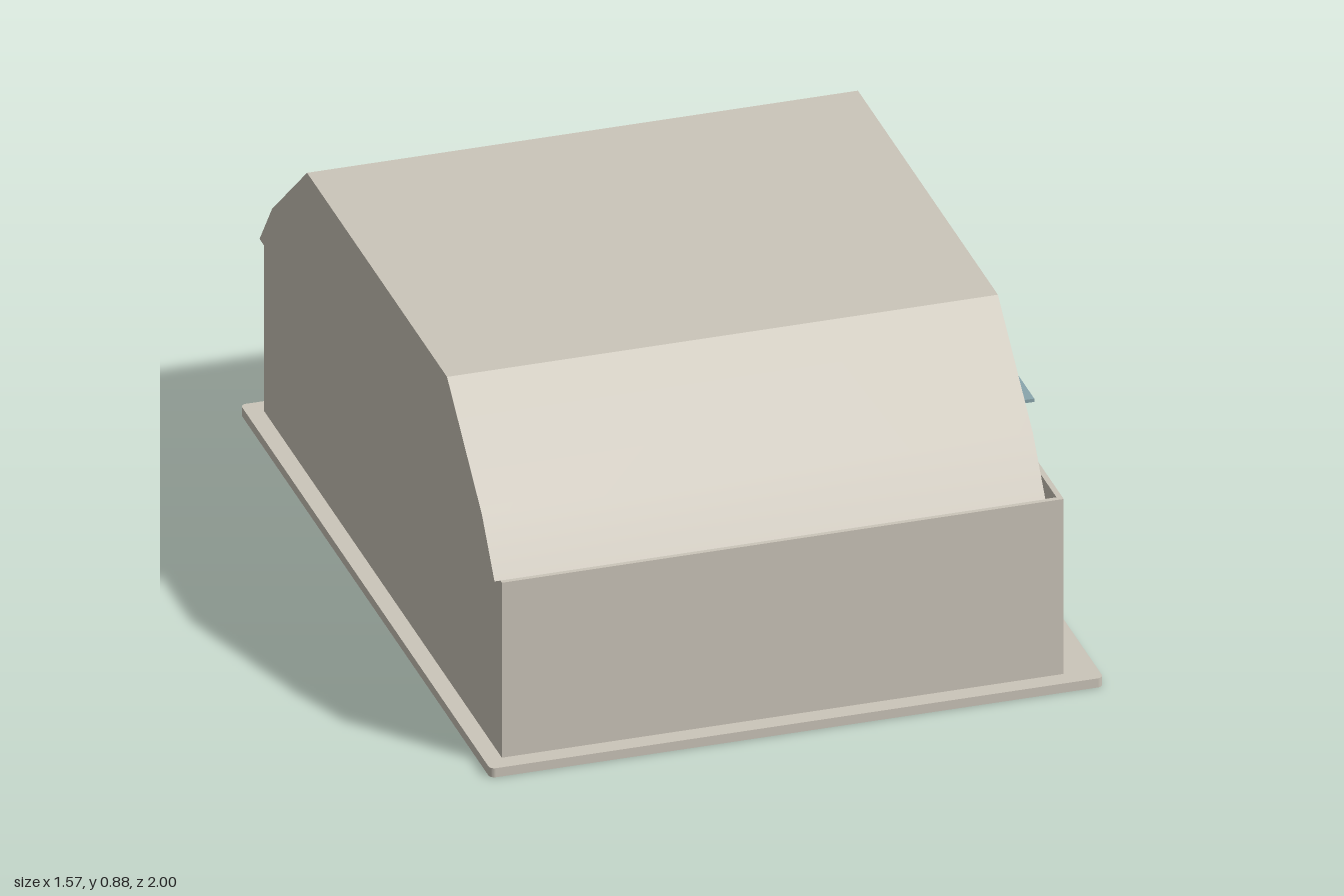
import * as THREE from 'three';
import { toCreasedNormals } from 'three/addons/utils/BufferGeometryUtils.js';

export function createModel() {
  const group = new THREE.Group();
  const stone = new THREE.MeshStandardMaterial({ color: 0xcbc5b9 });
  stone.name = 'warm stone';
  const trim = new THREE.MeshStandardMaterial({ color: 0x89a5ac });
  trim.name = 'blue grey trim';

  const add = (name, geometry, material) => {
    const mesh = new THREE.Mesh(geometry, material);
    mesh.name = name;
    group.add(mesh);
    return mesh;
  };
  // Box given by its extents along each axis
  const box = (name, material, x0, x1, y0, y1, z0, z1) => {
    const g = new THREE.BoxGeometry(x1 - x0, y1 - y0, z1 - z0);
    g.translate((x0 + x1) / 2, (y0 + y1) / 2, (z0 + z1) / 2);
    return add(name, g, material);
  };

  const floor = 0.025, top = 0.507, door = 0.435, t = 0.014;
  const back = -0.74, face = 0.698, side = 0.952;

  // Base slab with slightly rounded corners
  const w = 0.785, d = 1, r = 0.015;
  const plan = new THREE.Shape();
  plan.absarc(w - r, d - r, r, 0, Math.PI / 2);
  plan.absarc(r - w, d - r, r, Math.PI / 2, Math.PI);
  plan.absarc(r - w, r - d, r, Math.PI, Math.PI * 1.5);
  plan.absarc(w - r, r - d, r, Math.PI * 1.5, Math.PI * 2);
  const slab = new THREE.ExtrudeGeometry(plan, { depth: floor, bevelEnabled: false, curveSegments: 4 });
  slab.rotateX(-Math.PI / 2);
  add('baseSlab', slab, stone);

  // Thin walls, with a wide doorway on the +x side
  box('rearWall', stone, back, back + t, floor, top, -side, side);
  for (const s of [-1, 1]) {
    const label = s > 0 ? 'front' : 'back';
    const span = (a, b) => (s > 0 ? [a, b] : [-b, -a]);
    box(label + 'SideWall', stone, back + t, face, floor, top, ...span(side - t, side));
    box(label + 'DoorWall', stone, face - t, face, floor, top, ...span(door, side - t));
    box(label + 'DoorJamb', trim, face - t - 0.002, face + 0.005, floor, top, ...span(door - 0.006, door + 0.002));
  }
  box('doorLintel', stone, face - t, 0.718, 0.492, top - 0.001, -door, door);
  box('doorCanopy', trim, 0.698, 0.785, 0.506, 0.515, -0.445, 0.445);

  // Roof block: flat top, two-step slopes with a soft lower fold
  const half = [[0.94, top], [0.84, 0.64], [0.56, 0.88]];
  const profile = new THREE.Shape([
    ...half.map(([z, y]) => new THREE.Vector2(z, y)),
    ...half.slice().reverse().map(([z, y]) => new THREE.Vector2(-z, y)),
  ]);
  const roof = new THREE.ExtrudeGeometry(profile, { depth: 1.41, bevelEnabled: false });
  roof.rotateY(-Math.PI / 2);
  roof.translate(0.655, 0, 0);
  add('roof', toCreasedNormals(roof, 0.4), stone);

  return group;
}
